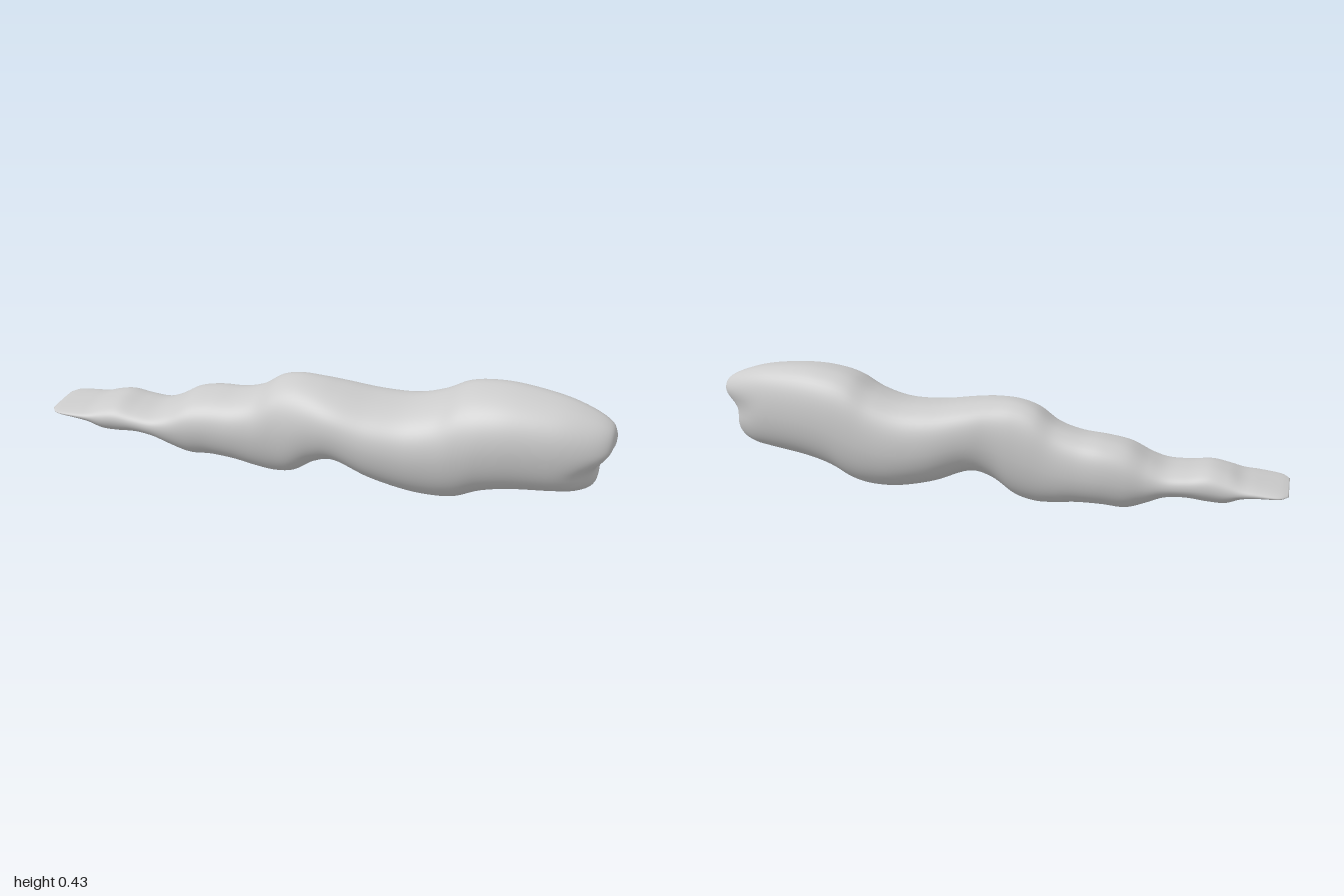
import * as THREE from 'three';

// Stations along the body: x, top y, bottom y, front z, back z
const stations = [
  [-1, 0.143, 0.133, 0.07, -0.08], [-0.97, 0.15, 0.126, 0.1, -0.107], [-0.9, 0.16, 0.117, 0.11, -0.111],
  [-0.85, 0.168, 0.105, 0.11, -0.112], [-0.8, 0.187, 0.08, 0.11, -0.113], [-0.74, 0.198, 0.078, 0.11, -0.114],
  [-0.67, 0.187, 0.086, 0.11, -0.115], [-0.6, 0.185, 0.078, 0.112, -0.116], [-0.54, 0.207, 0.05, 0.112, -0.123],
  [-0.47, 0.246, 0.024, 0.112, -0.134], [-0.39, 0.262, 0.027, 0.11, -0.138], [-0.3, 0.27, 0.022, 0.111, -0.132],
  [-0.22, 0.295, 0.008, 0.112, -0.126], [-0.15, 0.342, 0.003, 0.117, -0.122], [-0.08, 0.36, 0.02, 0.128, -0.12],
  [0, 0.358, 0.075, 0.14, -0.122], [0.08, 0.347, 0.094, 0.15, -0.136], [0.2, 0.33, 0.048, 0.157, -0.158],
  [0.32, 0.331, 0.018, 0.154, -0.165], [0.42, 0.36, 0.01, 0.153, -0.163], [0.5, 0.403, 0.022, 0.156, -0.158],
  [0.58, 0.421, 0.06, 0.158, -0.15], [0.68, 0.425, 0.085, 0.154, -0.135], [0.82, 0.41, 0.1, 0.137, -0.107],
  [0.92, 0.382, 0.11, 0.11, -0.08], [0.98, 0.35, 0.138, 0.075, -0.05], [1, 0.315, 0.21, 0.025, -0.015],
];
const SLICES = 156, SIDES = 56;

const squash = (c, n) => Math.sign(c) * Math.pow(Math.abs(c), 2 / n);

// Undercuts the blunt end into an overhanging upper lip and a lower lip
function shapeEnd(p) {
  const amount = THREE.MathUtils.smoothstep(p.x, 0.8, 0.98);
  const below = 0.31 - 0.4 * p.z - p.y;
  const undercut = 0.038 * THREE.MathUtils.smoothstep(below, 0, 0.12);
  const groove = 0.018 * Math.exp(-((below - 0.07) ** 2) / 0.0015);
  p.x -= amount * (undercut + groove);
}

function createBody() {
  const heights = new THREE.CatmullRomCurve3(
    stations.map(s => new THREE.Vector3(s[0], s[1], s[2])), false, 'catmullrom', 0.5);
  const widths = new THREE.CatmullRomCurve3(
    stations.map(s => new THREE.Vector3(s[0], s[3], s[4])), false, 'catmullrom', 0.5);
  const positions = [], index = [];
  const p = new THREE.Vector3();
  const push = () => { shapeEnd(p); positions.push(p.x, p.y, p.z); };

  // Rounded-box cross-sections, narrower underneath and leaning a little
  for (let i = 0; i <= SLICES; i++) {
    const h = heights.getPoint(i / SLICES), w = widths.getPoint(i / SLICES);
    const ry = (h.y - h.z) / 2, rz = (w.y - w.z) / 2;
    for (let j = 0; j < SIDES; j++) {
      const a = (j / SIDES) * Math.PI * 2;
      const u = squash(Math.cos(a), 2.5), v = squash(Math.sin(a), 2.5);
      const taper = v < 0 ? 1 + 0.12 * v : 1;
      const tilt = -0.12 * ry * u * Math.max(v, 0);
      p.set(h.x, (h.y + h.z) / 2 + v * ry + tilt, (w.y + w.z) / 2 + u * rz * taper);
      push();
    }
  }
  for (let i = 0; i < SLICES; i++) {
    for (let j = 0; j < SIDES; j++) {
      const k = (j + 1) % SIDES;
      const a = i * SIDES + j, b = a + SIDES, c = (i + 1) * SIDES + k, d = i * SIDES + k;
      index.push(a, b, c, a, c, d);
    }
  }

  // Closed ends
  const tail = (SLICES + 1) * SIDES, head = tail + 1, last = SLICES * SIDES;
  p.set(-1, 0.138, -0.005); push();
  p.set(1, 0.262, 0.005); push();
  for (let j = 0; j < SIDES; j++) {
    const k = (j + 1) % SIDES;
    index.push(tail, j, k, head, last + k, last + j);
  }

  const geometry = new THREE.BufferGeometry();
  geometry.setAttribute('position', new THREE.Float32BufferAttribute(positions, 3));
  geometry.setIndex(index);
  geometry.computeVertexNormals();
  return geometry;
}

export function createModel() {
  const group = new THREE.Group();
  const body = new THREE.Mesh(createBody(), new THREE.MeshStandardMaterial({ color: 0xcccccc }));
  body.name = 'body';
  group.add(body);
  return group;
}
